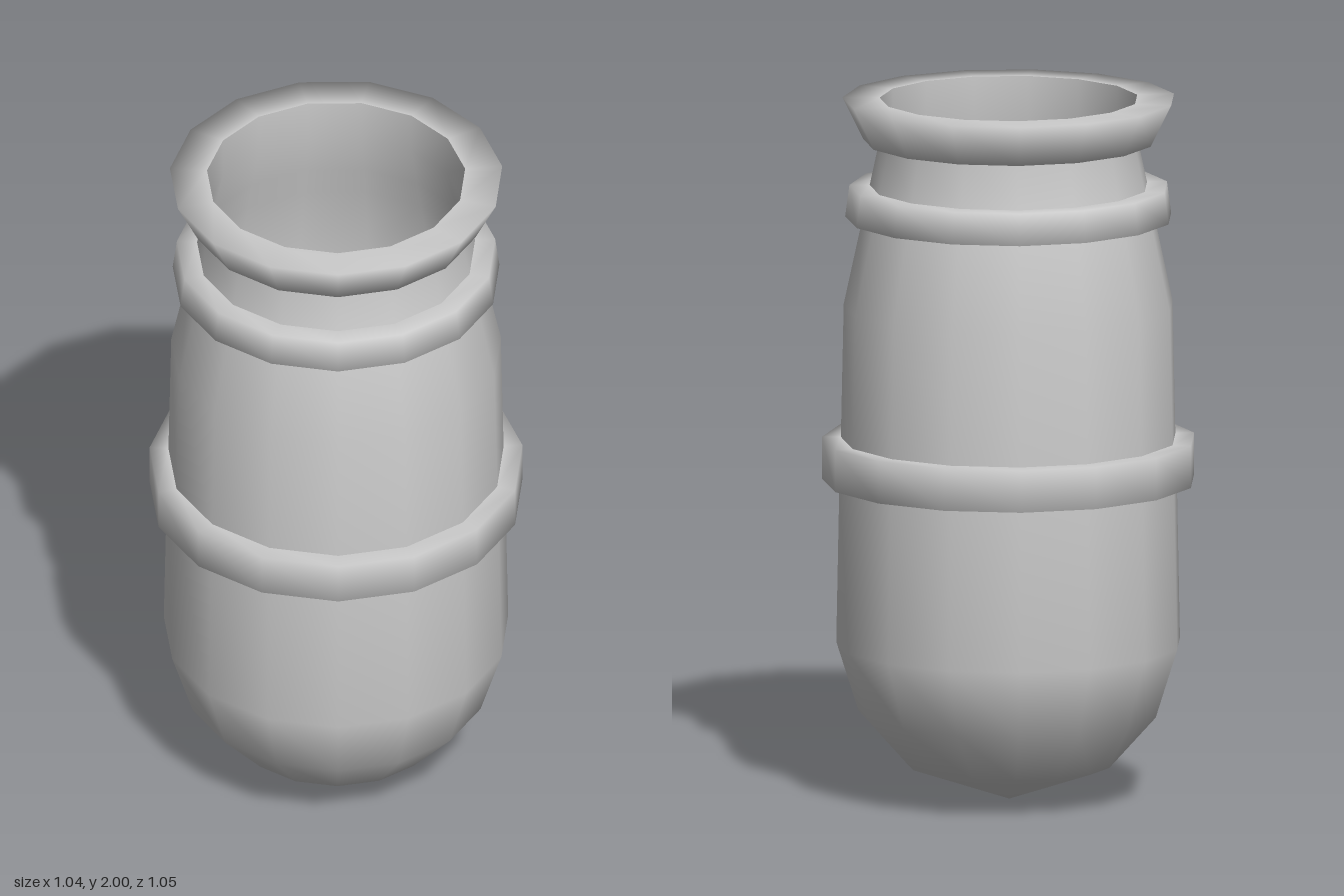
import * as THREE from 'three';

const SIDES = 15;
const TURN = THREE.MathUtils.degToRad(6.5);

const material = new THREE.MeshStandardMaterial({ color: 0xcccccc, side: THREE.DoubleSide });

// Revolve a profile of [radius, height] pairs, listed from bottom to top.
function revolve(name, profile) {
  const points = profile.map(([r, y]) => new THREE.Vector2(r, y));
  const mesh = new THREE.Mesh(new THREE.LatheGeometry(points, SIDES, TURN), material);
  mesh.name = name;
  return mesh;
}

// Collar that wraps the body: flat underside, sloped outer wall, flat top.
function collar(name, y0, y1, outer0, outer1, inner0, inner1) {
  return revolve(name, [[inner0, y0], [outer0, y0], [outer1, y1], [inner1, y1]]);
}

export function createModel() {
  const group = new THREE.Group();
  group.name = 'jar';

  // Thin open vessel with a pointed base and a narrowing neck
  group.add(revolve('body', [
    [0, 0], [0.29, 0.1], [0.425, 0.25], [0.487, 0.445], [0.478, 0.91], [0.474, 1.03],
    [0.466, 1.41], [0.412, 1.66], [0.393, 1.75], [0.365, 1.88], [0.365, 2],
  ]));

  // Raised bands and flared lip
  group.add(collar('waistBand', 0.91, 1.03, 0.527, 0.527, 0.478, 0.474));
  group.add(collar('shoulderBand', 1.66, 1.75, 0.462, 0.45, 0.412, 0.393));
  group.add(collar('rim', 1.88, 2, 0.41, 0.47, 0.365, 0.365));

  return group;
}
